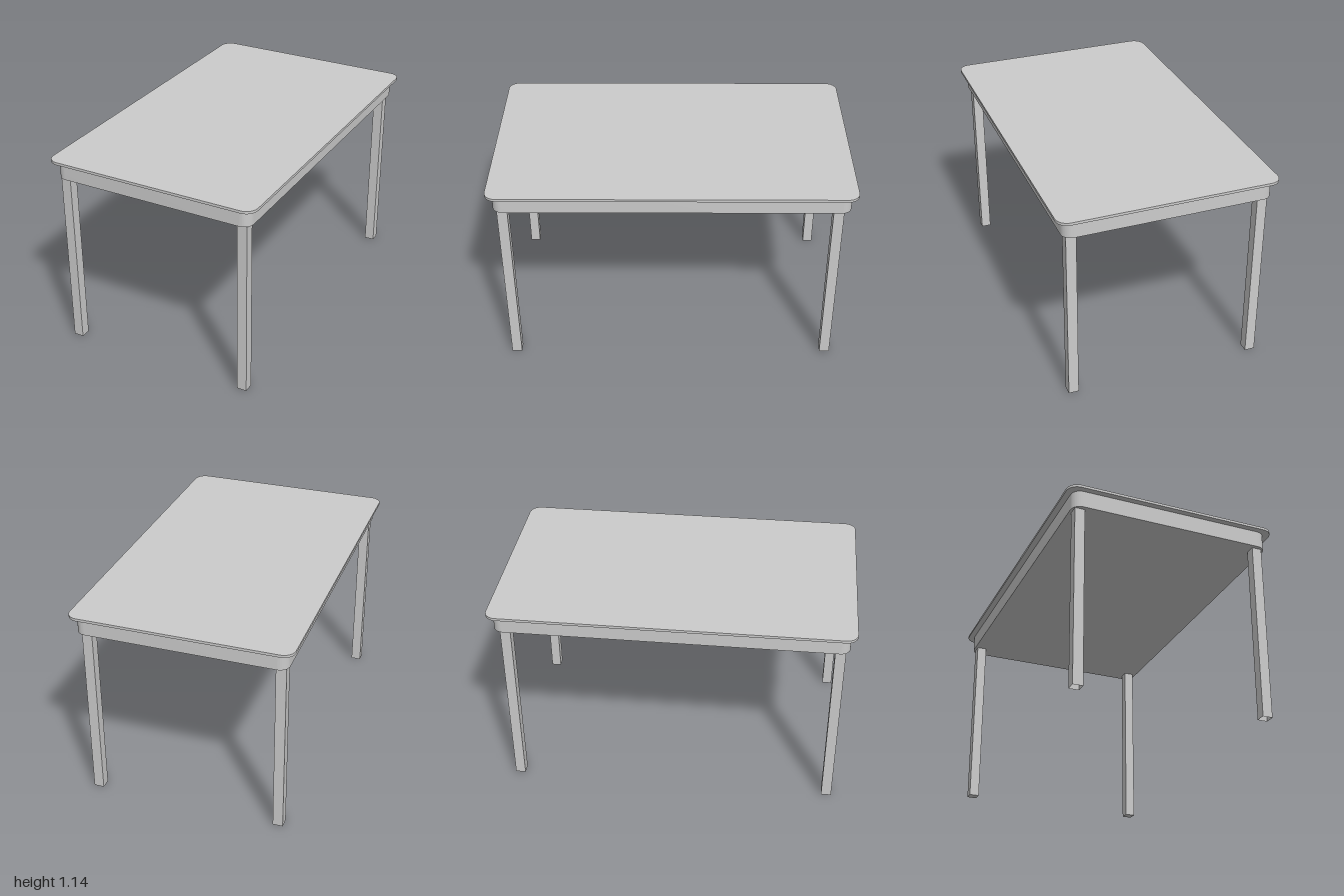
import * as THREE from 'three';
import { toCreasedNormals } from 'three/addons/utils/BufferGeometryUtils.js';

const material = new THREE.MeshStandardMaterial({ color: 0xcccccc, side: THREE.DoubleSide });

// Flat slab with rounded corners, lying in the xz plane between two heights
function roundedSlab(name, halfX, halfZ, radius, bottom, top) {
  const shape = new THREE.Shape();
  const x = halfX - radius, z = halfZ - radius;
  shape.absarc(x, z, radius, 0, Math.PI / 2);
  shape.absarc(-x, z, radius, Math.PI / 2, Math.PI);
  shape.absarc(-x, -z, radius, Math.PI, Math.PI * 1.5);
  shape.absarc(x, -z, radius, Math.PI * 1.5, Math.PI * 2);
  const geometry = new THREE.ExtrudeGeometry(shape, {
    depth: top - bottom, bevelEnabled: false, curveSegments: 10,
  });
  geometry.rotateX(-Math.PI / 2);
  geometry.translate(0, bottom, 0);
  const mesh = new THREE.Mesh(toCreasedNormals(geometry, Math.PI / 6), material);
  mesh.name = name;
  return mesh;
}

// Square leg; an open one is a tube without its foot face
function leg(name, x, z, height, width, open) {
  const geometry = new THREE.BoxGeometry(width, height, width);
  if (open) {
    const index = Array.from(geometry.index.array);
    index.splice(18, 6); // bottom face
    geometry.setIndex(index);
    geometry.clearGroups();
  }
  const mesh = new THREE.Mesh(geometry, material);
  mesh.name = name;
  mesh.position.set(x, height / 2, z);
  return mesh;
}

export function createModel() {
  const table = new THREE.Group();
  table.name = 'table';

  const apronBottom = 1.03, apronTop = 1.127;
  table.add(roundedSlab('tableTop', 0.616, 1, 0.065, apronTop, 1.142));
  table.add(roundedSlab('apron', 0.582, 0.967, 0.055, apronBottom, apronTop));

  // Four legs, set slightly off centre under the apron
  for (const [side, x] of [['Left', 0.531], ['Right', -0.539]]) {
    table.add(leg('front' + side + 'Leg', x, 0.916, apronBottom, 0.057, true));
    table.add(leg('back' + side + 'Leg', x, -0.9, apronBottom, 0.057, false));
  }
  return table;
}
